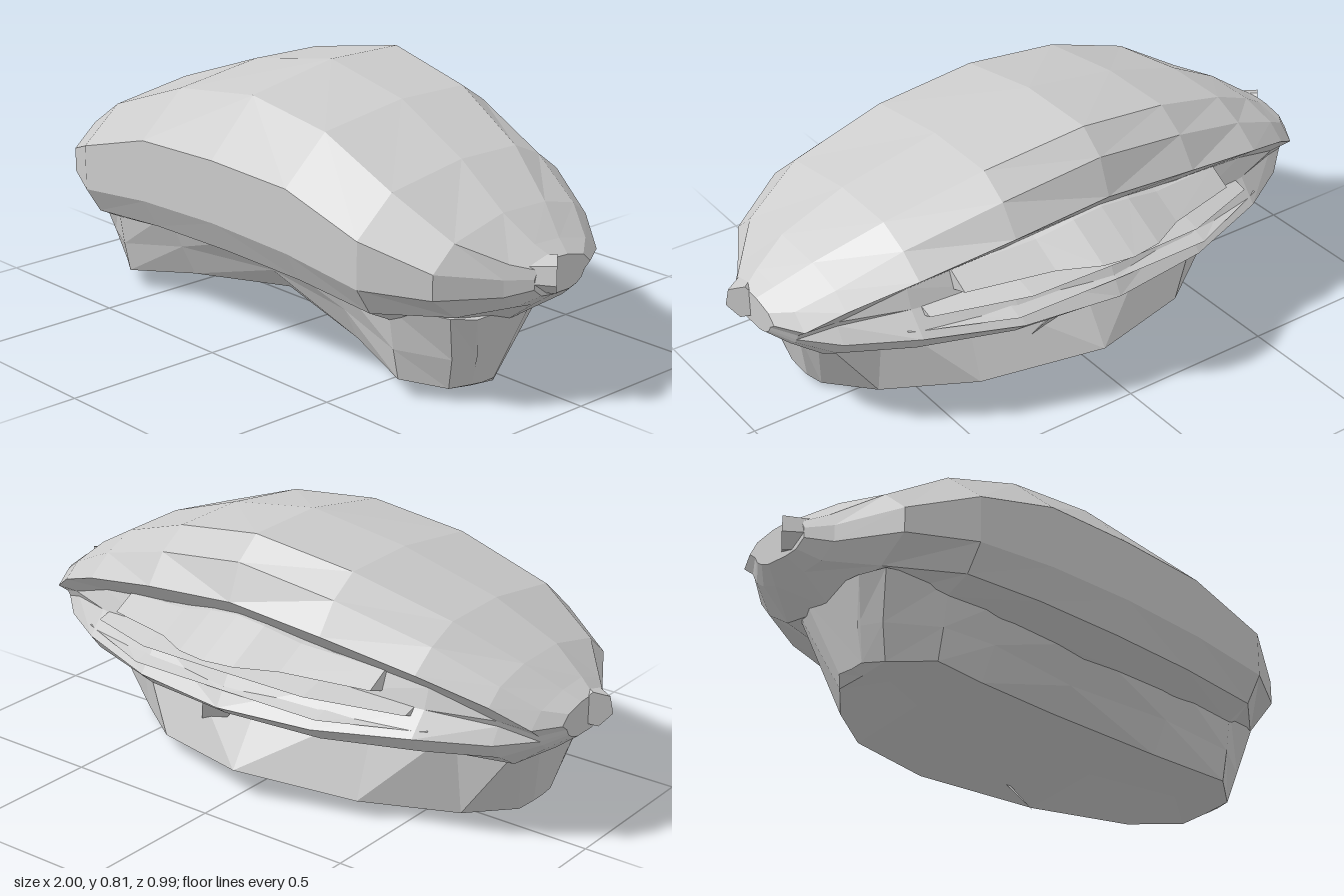
import * as THREE from 'three';
import { ConvexGeometry } from 'three/addons/geometries/ConvexGeometry.js';

const material = new THREE.MeshStandardMaterial({ color: 0xcccccc, flatShading: true, side: THREE.DoubleSide });

// Joins closed rings of [z, y, extra x] points, mirrored about x = 0.
// Each ring runs from the front over the top to the back and underneath.
function loft(half) {
  const right = half.map(([x, pts]) => pts.map(([z, y, dx = 0]) => [x + dx, y, z]));
  const left = right.slice(1).reverse().map(r => r.map(([x, y, z]) => [-x, y, z]));
  const rings = [...left, ...right];
  const n = rings[0].length;
  const index = [];
  for (let i = 0; i < rings.length - 1; i++) {
    for (let j = 0; j < n; j++) {
      const k = (j + 1) % n;
      const a = i * n + j, b = a + n, c = i * n + k, d = c + n;
      // split the quads symmetrically about the middle
      if (i < left.length) index.push(a, b, d, a, d, c);
      else index.push(a, b, c, b, d, c);
    }
  }
  const end = (rings.length - 1) * n;
  for (let j = 1; j < n - 1; j++) {
    index.push(0, j, j + 1, end, end + j + 1, end + j);
  }
  const geometry = new THREE.BufferGeometry();
  geometry.setAttribute('position', new THREE.Float32BufferAttribute(rings.flat(2), 3));
  geometry.setIndex(index);
  geometry.computeVertexNormals();
  return geometry;
}

export function createModel() {
  const model = new THREE.Group();
  const add = (name, geometry) => {
    const mesh = new THREE.Mesh(geometry, material);
    mesh.name = name;
    model.add(mesh);
    return mesh;
  };

  // Puffed, arched body with a crease along its back
  const body = [
    [0, [[.49, .40], [.49, .59], [.33, .755], [.02, .81], [-.25, .805], [-.33, .74], [-.375, .63],
      [-.32, .57], [-.37, .44], [-.44, .32], [-.40, .29], [-.2, .27], [.33, .27], [.44, .305]]],
    [.32, [[.49, .39], [.49, .58], [.34, .715], [.04, .755], [-.21, .75], [-.3, .69], [-.365, .60],
      [-.29, .53], [-.33, .43], [-.41, .33], [-.36, .285], [-.2, .265], [.34, .265], [.44, .30]]],
    [.61, [[.49, .36], [.49, .5], [.36, .61], [.09, .65], [-.13, .645], [-.23, .60], [-.31, .54],
      [-.24, .48], [-.26, .42], [-.32, .35], [-.28, .30], [-.15, .25], [.36, .24], [.44, .28]]],
    [.80, [[.39, .355], [.39, .43], [.31, .50], [.12, .545], [-.05, .54], [-.17, .51], [-.225, .465],
      [-.18, .41], [-.17, .39], [-.2, .34], [-.16, .29], [-.08, .24], [.1, .225], [.3, .285]]],
    [.90, [[.22, .35], [.22, .40], [.2, .44], [.1, .475], [0, .47], [-.11, .445], [-.16, .40],
      [-.12, .37], [-.11, .35], [-.1, .335], [-.07, .315], [-.02, .30], [.1, .30], [.17, .31]]],
  ];
  // closing ring, shrunk from the last one
  body.push([.95, body[4][1].map(([z, y]) => [.05 + (z - .05) * .6, .395 + (y - .395) * .6])]);
  add('body', loft(body));

  // Lower skirt: front overhangs and is hollowed in the middle, back bowed outward
  add('skirt', loft([
    [0, [[.19, .13], [.26, .2], [.34, .31], [-.22, .32], [-.37, .09], [-.1, .13]]],
    [.37, [[.26, .09], [.31, .19], [.36, .31], [-.16, .32], [-.25, .055], [0, .10]]],
    [.61, [[.33, .055], [.35, .15], [.37, .28], [-.10, .30], [-.06, .015], [.14, .055]]],
    [.73, [[.25, .04], [.27, .14, .03], [.31, .28, .06], [-.05, .28, .07], [.07, .015], [.16, .025]]],
    [.76, [[.19, .045], [.2, .14, .03], [.24, .27, .065], [.02, .27, .065], [.10, .04], [.15, .04]]],
  ]));

  // Thin folds layered inside the back crease
  add('upperFold', loft([
    [0, [[-.28, .585], [-.34, .58], [-.50, .49], [-.30, .47]]],
    [.10, [[-.28, .58], [-.34, .57], [-.485, .49], [-.30, .47]]],
    [.22, [[-.27, .55], [-.32, .54], [-.42, .485], [-.29, .46]]],
    [.48, [[-.24, .51], [-.27, .51], [-.34, .47], [-.25, .44]]],
  ]));
  add('middleFold', loft([
    [0, [[-.28, .47], [-.34, .47], [-.44, .44], [-.30, .40]]],
    [.30, [[-.26, .46], [-.31, .46], [-.42, .43], [-.28, .39]]],
    [.58, [[-.20, .43], [-.24, .43], [-.31, .41], [-.22, .38]]],
  ]));
  add('lowerFold', loft([
    [0, [[-.28, .40], [-.34, .41], [-.42, .37], [-.30, .33]]],
    [.34, [[-.26, .40], [-.31, .40], [-.41, .365], [-.28, .33]]],
    [.64, [[-.16, .39], [-.20, .39], [-.29, .37], [-.18, .33]]],
  ]));

  // Thin spike hanging below the back
  add('spike', new ConvexGeometry([
    [.02, .28, -.32], [.14, .28, -.34], [.08, .28, -.31], [.30, 0, -.17],
  ].map(p => new THREE.Vector3(...p))));

  // Flared six-sided knob at each end, turned towards the back
  for (const side of [1, -1]) {
    const axis = new THREE.Vector3(side * .75, 0, -.66).normalize();
    const knob = add(side > 0 ? 'leftKnob' : 'rightKnob', new THREE.CylinderGeometry(.055, .04, .16, 6));
    knob.quaternion.setFromUnitVectors(new THREE.Vector3(0, 1, 0), axis);
    knob.position.set(side * .904, .4, .13);
  }
  return model;
}
